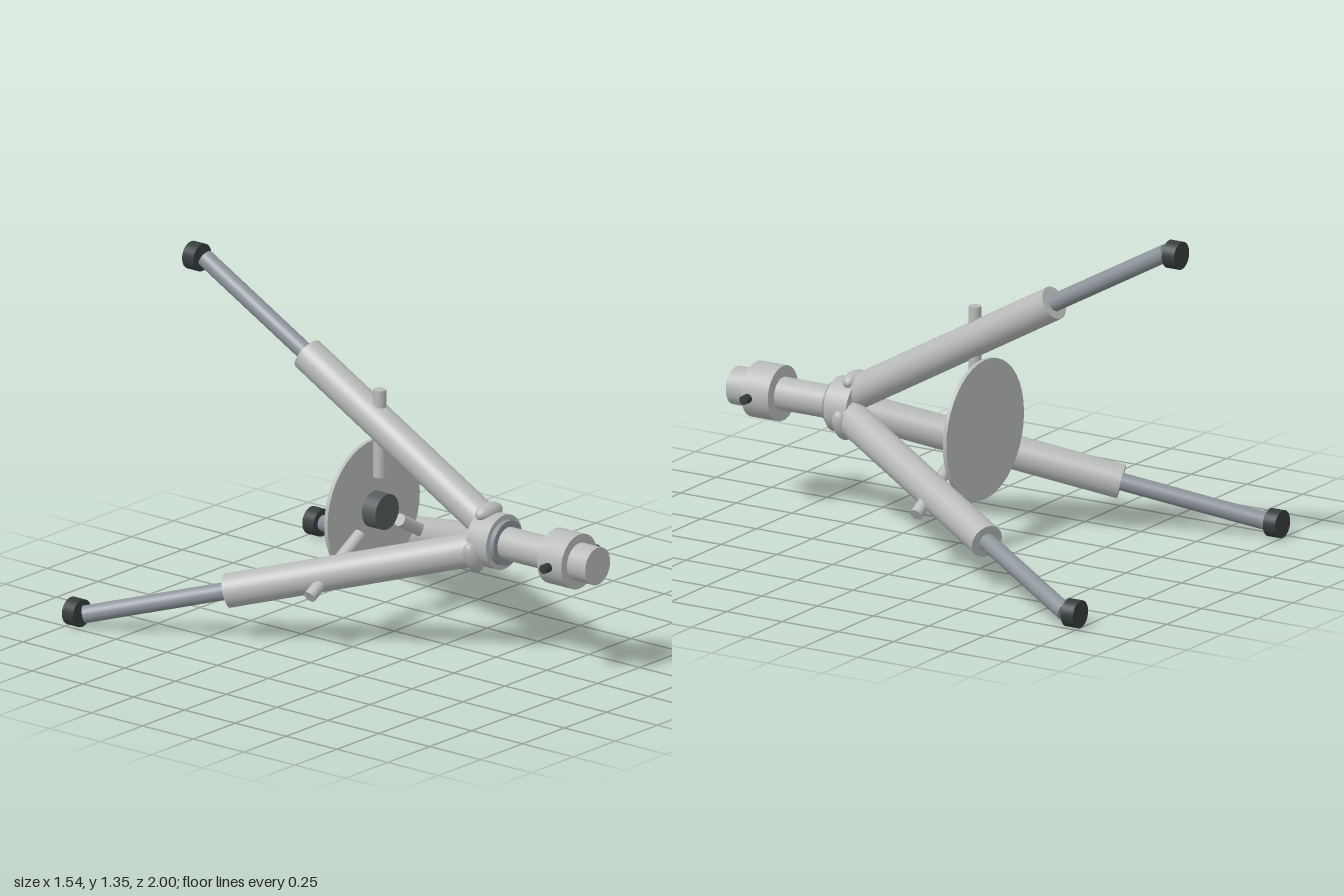
import * as THREE from 'three';

const material = (name, color) => {
  const m = new THREE.MeshStandardMaterial({ color });
  m.name = name;
  return m;
};

export function createModel() {
  const lightGrey = material('light grey metal', 0xb8baba);
  const steel = material('steel', 0x8c949a);
  const rubber = material('dark rubber', 0x363c3c);
  const darkGrey = material('dark grey hub', 0x565b5d);

  const model = new THREE.Group();
  model.name = 'tripod';

  // everything is arranged around one horizontal axis running along z
  const body = new THREE.Group();
  body.name = 'tripodBody';
  body.position.y = 0.468;
  model.add(body);

  // solid round bar between two points
  const bar = (name, from, to, radius, mat, parent) => {
    const a = new THREE.Vector3(...from), b = new THREE.Vector3(...to);
    const dir = b.clone().sub(a);
    const mesh = new THREE.Mesh(new THREE.CylinderGeometry(radius, radius, dir.length(), 40), mat);
    mesh.position.copy(a).add(b).multiplyScalar(0.5);
    mesh.quaternion.setFromUnitVectors(new THREE.Vector3(0, 1, 0), dir.normalize());
    mesh.name = name;
    parent.add(mesh);
    return mesh;
  };
  const axial = (name, z0, z1, radius, mat) => bar(name, [0, 0, z0], [0, 0, z1], radius, mat, body);

  // central column and head
  axial('legCollar', 0.44, 0.54, 0.108, lightGrey);
  axial('collarRing', 0.535, 0.56, 0.088, steel);
  axial('column', 0.5, 0.8, 0.064, lightGrey);
  axial('headCollar', 0.79, 0.91, 0.108, lightGrey);
  axial('headTip', 0.9, 1, 0.074, lightGrey);
  for (const s of [-1, 1]) {
    bar(s > 0 ? 'leftKnob' : 'rightKnob', [s * 0.13, 0, 0.865], [s * 0.163, 0, 0.865], 0.018, rubber, body);
  }

  // spreader plate and hub
  axial('spreaderPlate', -0.118, -0.102, 0.275, lightGrey);
  axial('spreaderHub', -0.105, -0.036, 0.07, darkGrey);

  // three legs with their spreader arms
  const names = ['upperLeg', 'lowerRightLeg', 'lowerLeftLeg'];
  names.forEach((name, i) => {
    const leg = new THREE.Group();
    leg.name = name;
    leg.rotation.z = i * Math.PI * 2 / 3;
    body.add(leg);

    const knuckle = new THREE.Mesh(new THREE.SphereGeometry(1, 32, 20), lightGrey);
    knuckle.scale.set(0.07, 0.036, 0.036);
    knuckle.position.set(0, 0.106, 0.465);
    knuckle.name = 'knuckle';
    leg.add(knuckle);

    bar('legTube', [0, 0.052, 0.465], [0, 0.55, -0.428], 0.066, lightGrey, leg);
    bar('legRod', [0, 0.53, -0.392], [0, 0.828, -0.932], 0.034, steel, leg);
    bar('foot', [0, 0.826, -0.945], [0, 0.826, -1], 0.054, rubber, leg);
    bar('spreaderArm', [0, 0.135, -0.072], [0, 0.482, -0.072], 0.025, lightGrey, leg);
  });

  return model;
}
